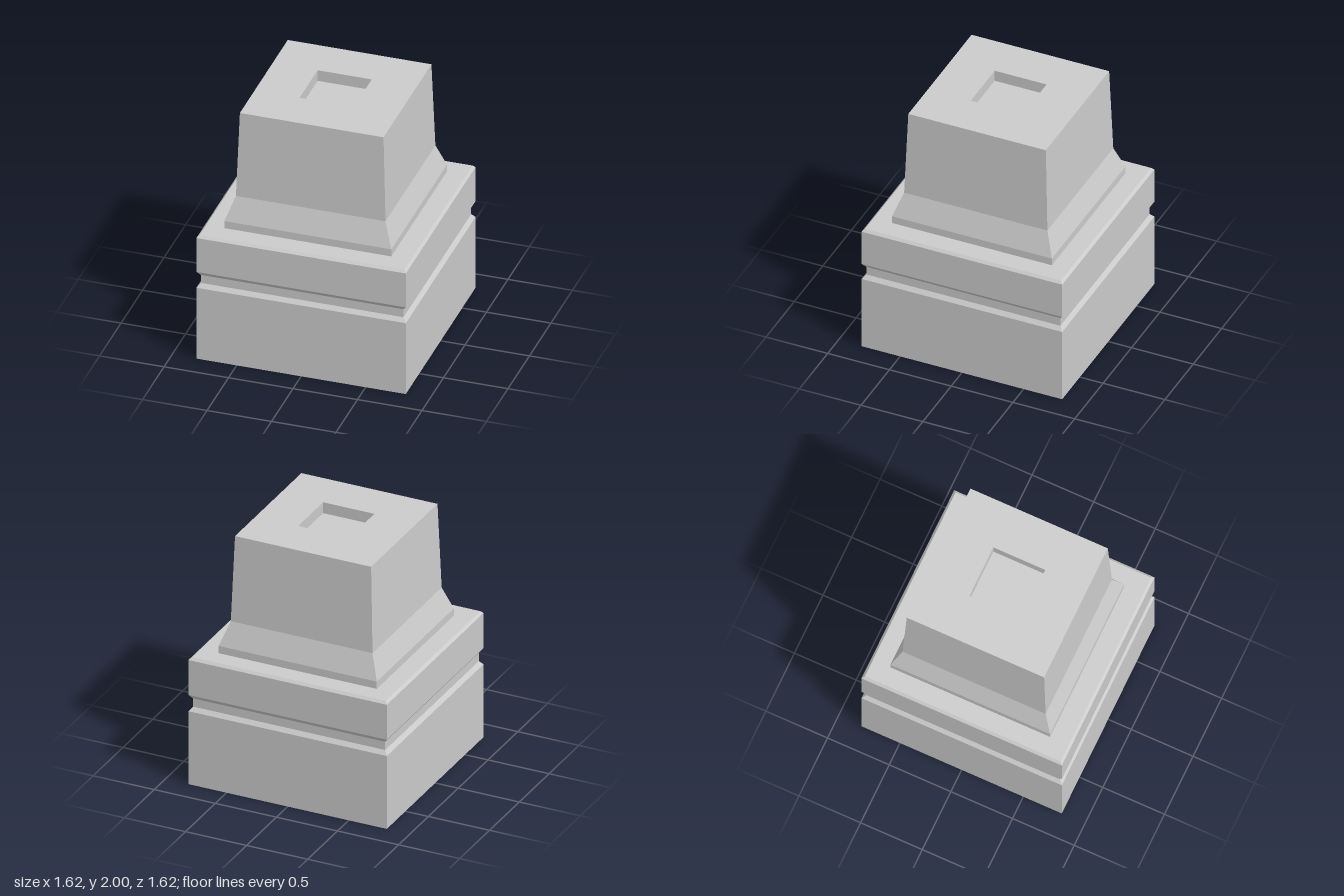
import * as THREE from 'three';

const material = new THREE.MeshStandardMaterial({ color: 0xcccccc, flatShading: true });

// Sweeps a profile of [half width, height] pairs around a square plan.
function squareBlock(name, profile) {
  const points = profile.map(([half, y]) => new THREE.Vector2(half * Math.SQRT2, y));
  const geometry = new THREE.LatheGeometry(points, 4, Math.PI / 4).toNonIndexed();
  geometry.computeVertexNormals();
  const mesh = new THREE.Mesh(geometry, material);
  mesh.name = name;
  return mesh;
}

export function createModel() {
  const model = new THREE.Group();
  model.name = 'pedestal';

  // Square plinth with a bevelled groove and chamfered top edge
  const plinth = squareBlock('plinth', [
    [0, 0], [0.812, 0],
    [0.812, 0.605], [0.786, 0.637], [0.786, 0.705], [0.812, 0.74],
    [0.812, 1.03], [0.793, 1.05], [0, 1.05],
  ]);

  // Tapered shaft with a flared foot and a square socket in its top
  const shaft = squareBlock('shaft', [
    [0, 1.05], [0.647, 1.05],
    [0.647, 1.11], [0.58, 1.3], [0.557, 2],
    [0.21, 2], [0.21, 1.91], [0, 1.91],
  ]);
  shaft.position.set(-0.004, 0, -0.004);

  model.add(plinth, shaft);
  return model;
}
